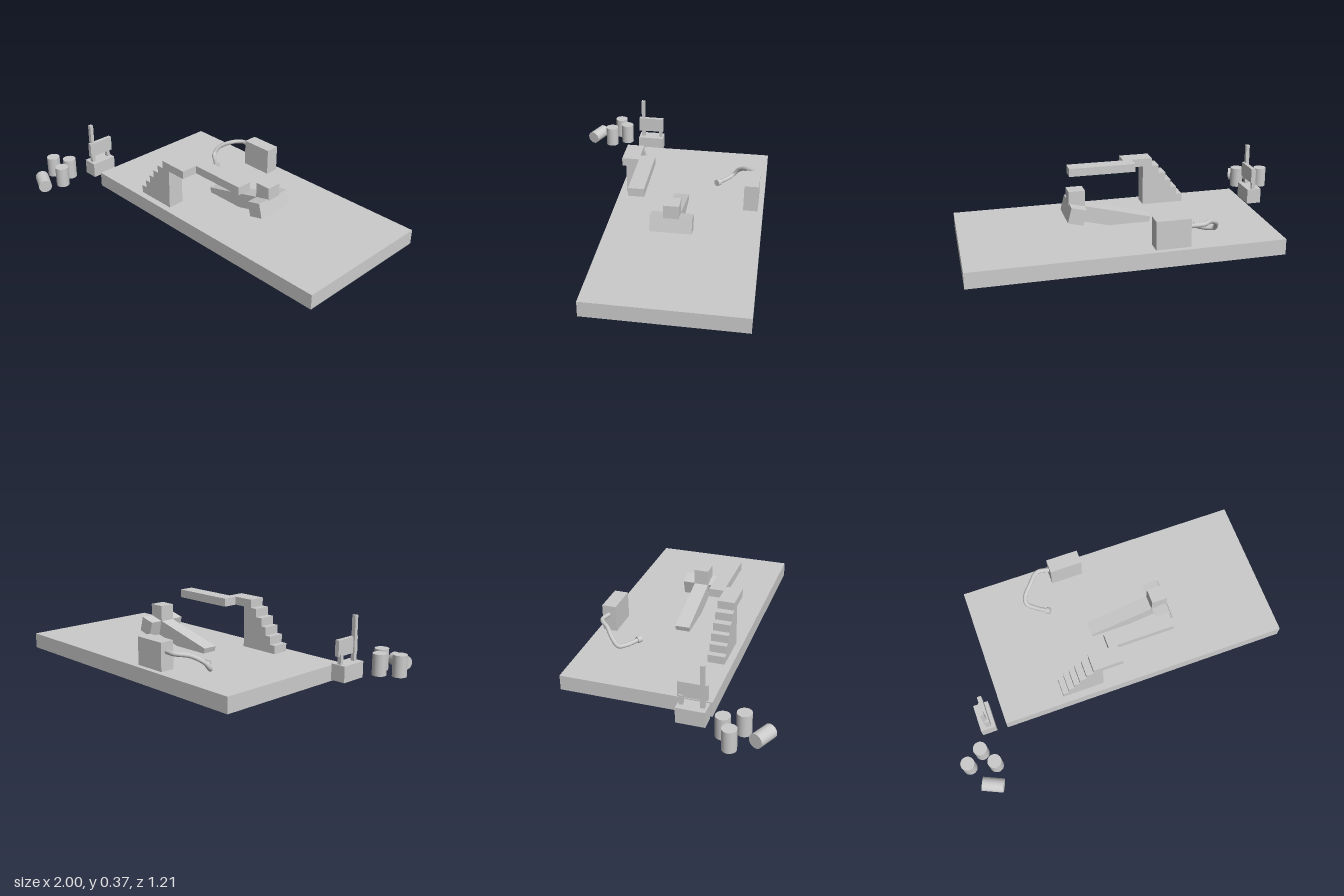
import * as THREE from 'three';

const material = new THREE.MeshStandardMaterial({ color: 0xcccccc });

function add(parent, name, geometry, x = 0, y = 0, z = 0) {
  const mesh = new THREE.Mesh(geometry, material);
  mesh.name = name;
  mesh.position.set(x, y, z);
  parent.add(mesh);
  return mesh;
}

// Box given by its limits on each axis
function block(parent, name, [x0, x1], [y0, y1], [z0, z1]) {
  return add(parent, name, new THREE.BoxGeometry(x1 - x0, y1 - y0, z1 - z0),
    (x0 + x1) / 2, (y0 + y1) / 2, (z0 + z1) / 2);
}

function group(parent, name) {
  const g = new THREE.Group();
  g.name = name;
  parent.add(g);
  return g;
}

export function createModel() {
  const model = new THREE.Group();
  model.name = 'playground';
  const floor = 0.088;

  block(model, 'platform', [-0.695, 1], [0, floor], [-0.608, 0.239]);

  // Staircase: stepped side profile extruded across its width
  const stairs = group(model, 'staircase');
  const stepX = [-0.337, -0.302, -0.267, -0.233, -0.192, -0.15];
  const rise = 0.047;
  const profile = new THREE.Shape();
  profile.moveTo(-0.095, floor);
  profile.lineTo(-0.095, floor + 6 * rise);
  for (let i = 5; i >= 0; i--) {
    profile.lineTo(stepX[i], floor + (i + 1) * rise);
    profile.lineTo(stepX[i], floor + i * rise);
  }
  add(stairs, 'steps', new THREE.ExtrudeGeometry(profile, { depth: 0.097, bevelEnabled: false }), 0, 0, 0.103);
  block(stairs, 'landing', [-0.095, 0.024], [0.323, 0.37], [0.103, 0.2]);
  block(stairs, 'divingBoard', [-0.027, 0.357], [0.323, 0.37], [0.017, 0.103]);

  // Slanted ramp with a wide head, sharing one tilted frame
  const ramp = group(model, 'ramp');
  ramp.position.set(0.364, 0.182, -0.133);
  const tilted = group(ramp, 'tiltedPart');
  tilted.rotation.z = THREE.MathUtils.degToRad(14.4);
  block(tilted, 'slope', [-0.43, 0.04], [-0.044, 0.044], [-0.042, 0.042]);
  block(tilted, 'wideHead', [-0.044, 0.044], [-0.044, 0.044], [-0.114, 0.114]);
  block(ramp, 'uprightBlock', [-0.057, 0.034], [0, 0.121], [-0.043, 0.043]);

  // Pump cabinet with a curved hose and nozzle
  const pump = group(model, 'pump');
  block(pump, 'cabinet', [-0.172, 0.018], [floor, 0.245], [-0.578, -0.496]);
  const hosePoints = [
    [-0.165, 0.19, -0.54], [-0.245, 0.194, -0.548], [-0.305, 0.185, -0.492],
    [-0.355, 0.15, -0.442], [-0.36, 0.112, -0.41], [-0.32, 0.102, -0.375], [-0.25, 0.108, -0.325],
  ].map((p) => new THREE.Vector3(...p));
  const path = new THREE.CatmullRomCurve3(hosePoints);
  add(pump, 'hose', new THREE.TubeGeometry(path, 60, 0.0125, 12));
  const nozzle = add(pump, 'nozzle', new THREE.CylinderGeometry(0.019, 0.019, 0.025, 16), -0.252, 0.108, -0.327);
  nozzle.quaternion.setFromUnitVectors(new THREE.Vector3(0, 1, 0), path.getTangent(1));

  // Sign on a low base with one tall post and one short post
  const sign = group(model, 'sign');
  block(sign, 'signBase', [-0.84, -0.754], [0.036, 0.125], [0.088, 0.245]);
  block(sign, 'tallPost', [-0.806, -0.784], [0.125, 0.37], [0.209, 0.231]);
  block(sign, 'shortPost', [-0.806, -0.784], [0.125, 0.18], [0.098, 0.118]);
  block(sign, 'signPanel', [-0.798, -0.774], [0.167, 0.255], [0.088, 0.245]);

  // Three standing barrels and one lying on its side
  const barrels = group(model, 'barrels');
  const barrel = new THREE.CylinderGeometry(0.039, 0.039, 0.12, 32);
  for (const [x, z] of [[-0.962, 0.401], [-0.873, 0.344], [-0.818, 0.438]]) {
    add(barrels, 'standingBarrel', barrel, x, 0.096, z);
  }
  const lying = add(barrels, 'lyingBarrel', barrel, -0.867, 0.074, 0.543);
  lying.quaternion.setFromUnitVectors(new THREE.Vector3(0, 1, 0),
    new THREE.Vector3(0.91, -0.05, 0.41).normalize());

  return model;
}
